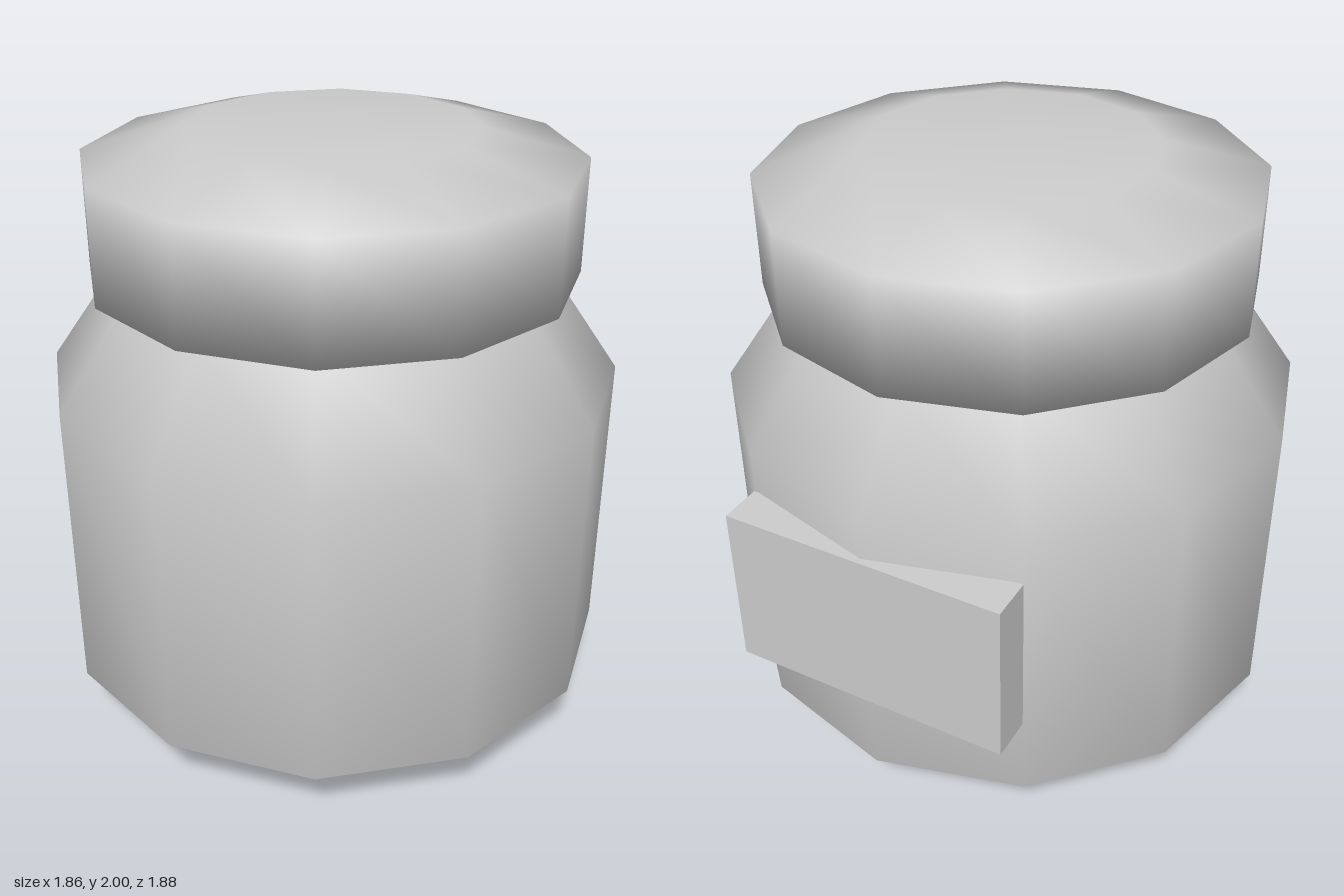
import * as THREE from 'three';

const SIDES = 12;
const CENTRE_Z = 0.01;

// Smooth twelve-sided turned part from [radius, height] pairs, bottom to top
function turned(name, profile, material) {
  const points = profile.map(([r, y]) => new THREE.Vector2(r, y));
  const mesh = new THREE.Mesh(new THREE.LatheGeometry(points, SIDES), material);
  mesh.name = name;
  mesh.position.z = CENTRE_Z;
  return mesh;
}

export function createModel() {
  const group = new THREE.Group();
  group.name = 'jar';
  const grey = new THREE.MeshStandardMaterial({ color: 0xcccccc });
  grey.name = 'light grey';

  // Body with bevelled base and sloping shoulders
  group.add(turned('jarBody', [[0, 0], [0.65, 0], [0.93, 0.235], [0.93, 1.21], [0.7, 1.54]], grey));

  // Overhanging lid with a bevelled top, closed underneath
  group.add(turned('lid', [[0, 1.54], [0.79, 1.54], [0.79, 1.91], [0.46, 2], [0, 2]], grey));

  // Flat label block on the back
  const label = new THREE.Mesh(new THREE.BoxGeometry(0.93, 0.55, 0.14), grey);
  label.name = 'backLabel';
  label.position.set(0, 0.795, -0.87);
  group.add(label);

  return group;
}
